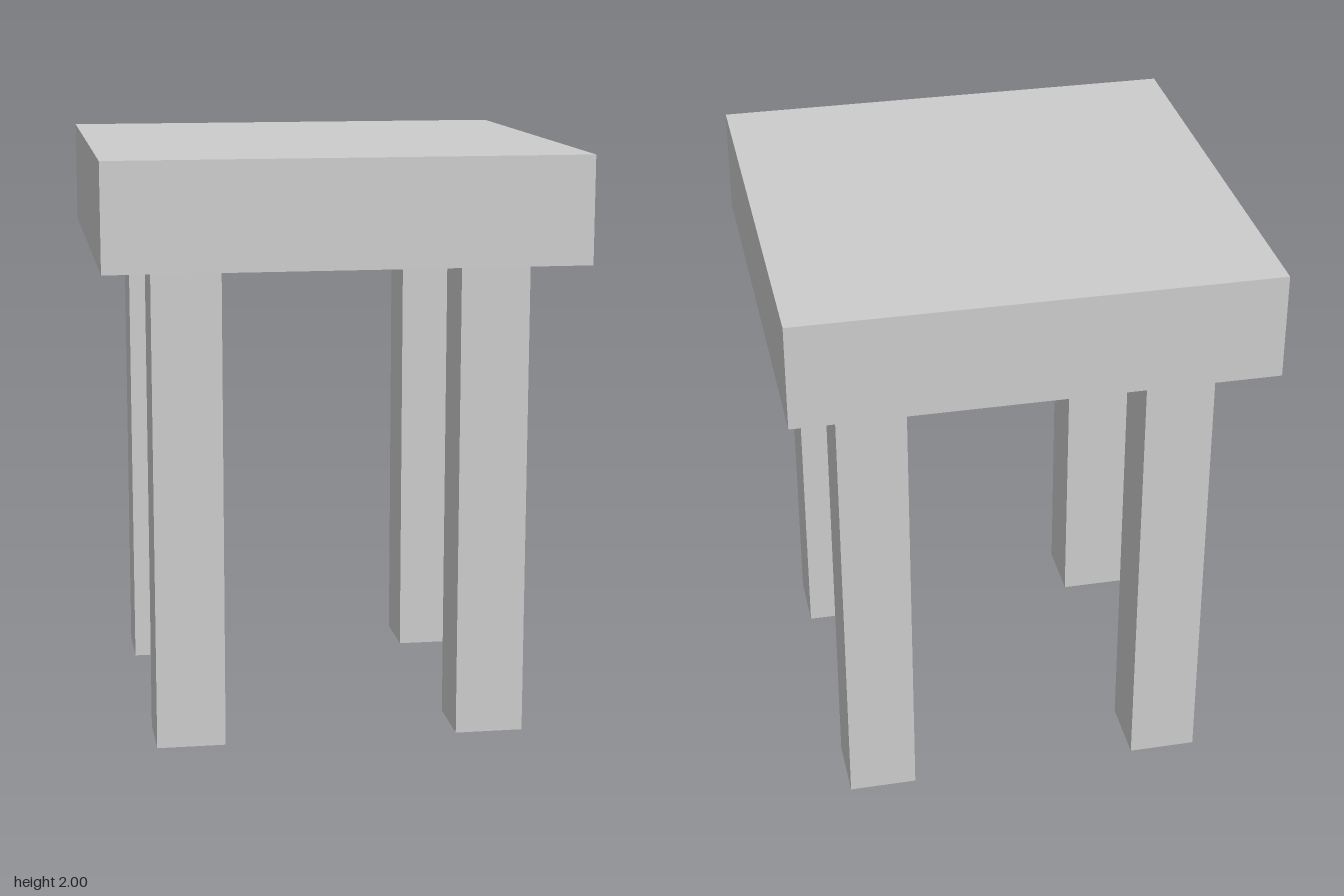
import * as THREE from 'three';

const SEAT_WIDTH = 1.6;
const SEAT_BOTTOM = 1.64;
const SEAT_TOP = 2;
const LEG_WIDTH = 0.233;
const LEG_OFFSET = 0.516;

export function createModel() {
  const model = new THREE.Group();
  model.name = 'stool';
  const material = new THREE.MeshStandardMaterial({ color: 0xcccccc, flatShading: true });

  // A box standing on the height "bottom"
  function addBox(name, width, bottom, top, x, z) {
    const mesh = new THREE.Mesh(new THREE.BoxGeometry(width, top - bottom, width), material);
    mesh.name = name;
    mesh.position.set(x, (bottom + top) / 2, z);
    model.add(mesh);
  }

  // Thick square seat
  addBox('seat', SEAT_WIDTH, SEAT_BOTTOM, SEAT_TOP, 0, 0);

  // Four square legs, inset from the seat edges
  for (const [side, x] of [['Left', 1], ['Right', -1]]) {
    for (const [end, z] of [['front', 1], ['back', -1]]) {
      addBox(`${end}${side}Leg`, LEG_WIDTH, 0, SEAT_BOTTOM, x * LEG_OFFSET, z * LEG_OFFSET);
    }
  }

  return model;
}
